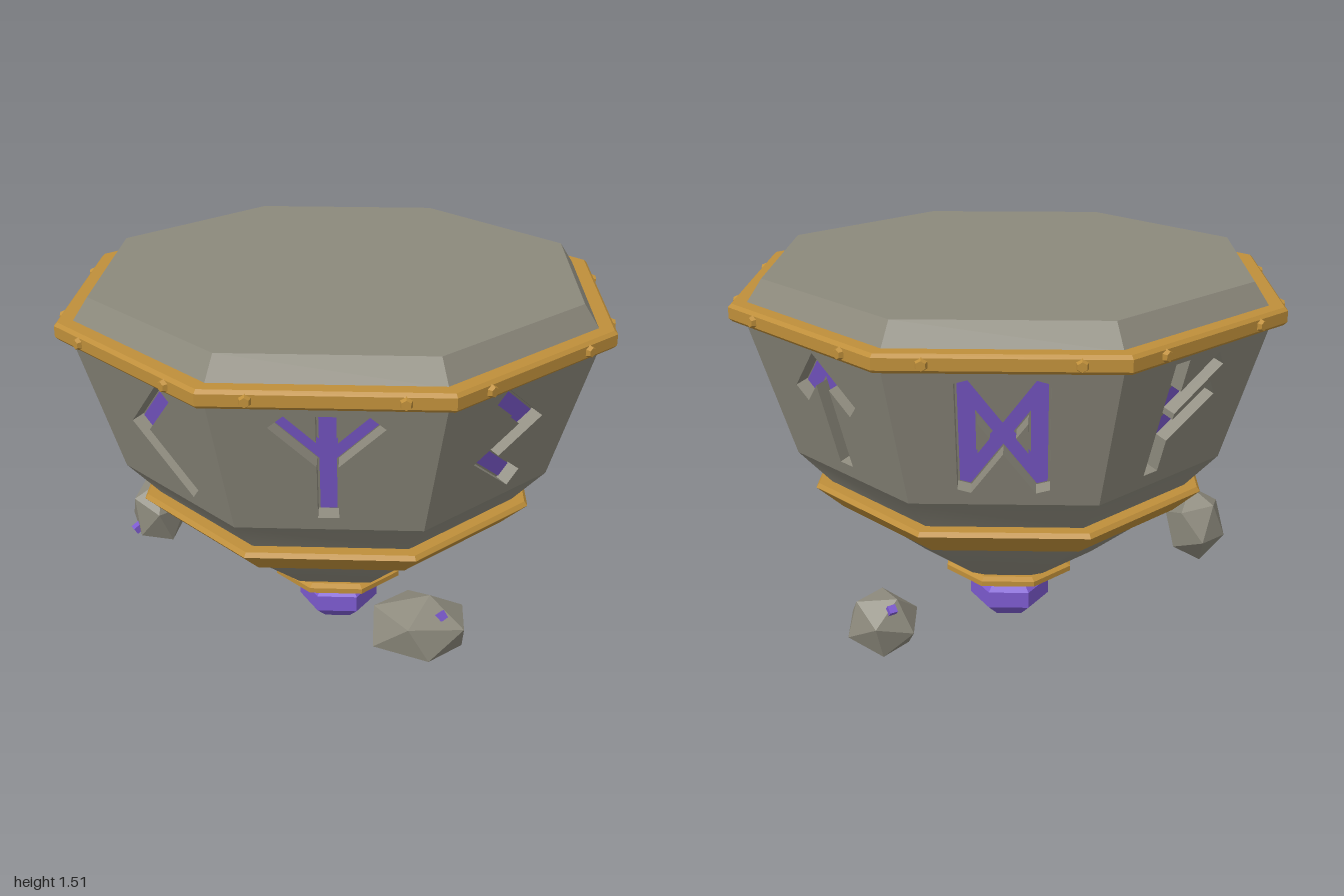
import * as THREE from 'three';
import { toCreasedNormals } from 'three/addons/utils/BufferGeometryUtils.js';

const mat = (name, color) => Object.assign(new THREE.MeshStandardMaterial({ color }), { name });
const stone = mat('stone', 0x8c897c);
const gold = mat('gold', 0xbf8f3a);
const purple = mat('purple', 0x7d5bd0);

function add(parent, name, geometry, material) {
  const mesh = new THREE.Mesh(geometry, material);
  mesh.name = name;
  parent.add(mesh);
  return mesh;
}

// Eight-sided ring or shell; profile points are [distance to the flat side, height], bottom to top
function octagon(profile, crease = 0.1) {
  const pts = profile.map(([a, y]) => new THREE.Vector2(a / Math.cos(Math.PI / 8), y));
  return toCreasedNormals(new THREE.LatheGeometry(pts, 8, Math.PI / 8), crease);
}

// Runes as stick figures: points and edges, counter-clockwise from the front side
const RUNES = [
  { p: [[0, -0.19], [0, 0.02], [0, 0.185], [-0.14, 0.17], [0.14, 0.17]], e: '01 12 13 14' },
  { p: [[-0.08, 0.19], [0.1, 0.05], [-0.09, -0.06], [0.08, -0.19]], e: '01 12 23' },
  { p: [[0, 0.18], [0.13, 0], [0, -0.18], [-0.13, 0]], e: '01 12 23 30' },
  { p: [[0, -0.19], [0, 0.18], [-0.12, 0.06], [0.12, 0.06]], e: '01 12 13' },
  { p: [[-0.12, -0.18], [-0.12, 0.18], [0.12, -0.18], [0.12, 0.18], [0, 0]], e: '01 23 04 14 24 34' },
  { p: [[-0.08, -0.19], [-0.08, -0.08], [-0.08, 0.03], [-0.08, 0.19], [0.11, 0.05], [0.11, 0.17]], e: '01 12 23 14 25' },
  { p: [[0, 0.18], [0.1, 0.07], [0, -0.04], [-0.1, 0.07], [-0.11, -0.18], [0.11, -0.18]], e: '01 12 23 30 24 25' },
  { p: [[0.11, 0.19], [-0.09, 0], [0.11, -0.19]], e: '01 12' },
];

// Thickens a stick figure by w on each side: returns the outer contour and the inner islands
function outline({ p, e }, w) {
  const pts = p.map(([x, y]) => new THREE.Vector2(x, y));
  const near = pts.map(() => []);
  for (const s of e.split(' ')) {
    near[s[0]].push(+s[1]);
    near[s[1]].push(+s[0]);
  }
  const dir = (a, b) => pts[b].clone().sub(pts[a]).normalize();
  const used = new Set();
  const loops = [];
  near.forEach((list, start) => list.forEach((first) => {
    let a = start, b = first;
    const loop = [];
    while (!used.has(a + '>' + b)) {
      used.add(a + '>' + b);
      // Next edge clockwise around b
      const back = dir(b, a).angle();
      const gap = (c) => (c === a ? 7 : (back - dir(b, c).angle() + 4 * Math.PI) % (2 * Math.PI));
      const c = near[b].reduce((m, n) => (gap(n) < gap(m) ? n : m));
      const d1 = dir(a, b), d2 = dir(b, c);
      const n1 = new THREE.Vector2(-d1.y, d1.x), n2 = new THREE.Vector2(-d2.y, d2.x);
      const dot = d1.dot(d2);
      if (c === a || (dot < -0.4 && d1.cross(d2) < 0)) {
        loop.push(pts[b].clone().addScaledVector(n1, w).addScaledVector(d1, w));
        loop.push(pts[b].clone().addScaledVector(n2, w).addScaledVector(d2, -w));
      } else {
        loop.push(pts[b].clone().addScaledVector(n1.add(n2), w / (1 + dot)));
      }
      [a, b] = [b, c];
    }
    if (loop.length) loops.push(loop);
  }));
  return {
    outer: loops.find((l) => THREE.ShapeUtils.area(l) < 0),
    islands: loops.filter((l) => THREE.ShapeUtils.area(l) > 0),
  };
}

// Sloping wall panel with a carved rune and a glowing floor
const LOW = { a: 0.785, y: 0.83 }, HIGH = { a: 0.935, y: 1.37 }, DEPTH = 0.05;
function runePanel(rune) {
  const panel = new THREE.Group();
  panel.name = 'runePanel';
  const len = Math.hypot(HIGH.a - LOW.a, HIGH.y - LOW.y), mid = len / 2;
  const t = Math.tan(Math.PI / 8);
  const wall = new THREE.Shape([[-LOW.a * t, -mid], [LOW.a * t, -mid], [HIGH.a * t, mid], [-HIGH.a * t, mid]]
    .map(([x, y]) => new THREE.Vector2(x, y)));
  const cut = outline(rune, 0.036);
  wall.holes.push(new THREE.Path(cut.outer));
  const shapes = [wall, ...cut.islands.map((l) => new THREE.Shape(l))];
  add(panel, 'carvedWall', new THREE.ExtrudeGeometry(shapes, { depth: DEPTH, bevelEnabled: false }), stone)
    .position.z = -DEPTH;
  add(panel, 'carvingFloor', new THREE.PlaneGeometry(0.42, 0.5), stone).position.z = -DEPTH;
  const line = outline(rune, 0.029);
  const glow = new THREE.Shape(line.outer);
  glow.holes = line.islands.map((l) => new THREE.Path(l));
  add(panel, 'rune', new THREE.ShapeGeometry(glow), purple).position.z = -DEPTH + 0.006;
  panel.position.set(0, (LOW.y + HIGH.y) / 2, (LOW.a + HIGH.a) / 2);
  panel.rotation.x = Math.atan2(HIGH.a - LOW.a, HIGH.y - LOW.y);
  return panel;
}

// Floating rock fitted to a given size, with a small crystal chip
function rock(center, size, rot, chipAt) {
  const group = new THREE.Group();
  group.name = 'floatingRock';
  const geo = new THREE.IcosahedronGeometry(1, 0);
  geo.applyMatrix4(new THREE.Matrix4().makeRotationFromEuler(new THREE.Euler(...rot)));
  geo.center();
  const ext = geo.boundingBox.getSize(new THREE.Vector3());
  geo.scale(size[0] / ext.x, size[1] / ext.y, size[2] / ext.z);
  add(group, 'rock', toCreasedNormals(geo, 0.1), stone);
  const chip = add(group, 'crystalChip', new THREE.BoxGeometry(0.03, 0.03, 0.04), purple);
  chip.position.set(...chipAt);
  chip.lookAt(0, 0, 0);
  group.position.set(...center);
  return group;
}

export function createModel() {
  const model = new THREE.Group();
  model.name = 'runeBowl';

  // Stone bowl
  add(model, 'lowerBowl', octagon([[0, 0.25], [0.19, 0.25], [0.33, 0.335], [0.61, 0.58], [0.67, 0.69], [LOW.a, LOW.y]], 0.523), stone);
  add(model, 'topSlab', octagon([[HIGH.a, HIGH.y], [0.925, 1.42], [0.87, 1.505], [0, 1.505]]), stone);

  // Gold bands
  add(model, 'rimBand', octagon([[0.9, 1.36], [0.973, 1.36], [0.985, 1.372], [0.985, 1.413], [0.973, 1.425], [0.91, 1.425]]), gold);
  add(model, 'middleBand', octagon([[0.56, 0.58], [0.635, 0.58], [0.73, 0.676], [0.718, 0.692], [0.64, 0.692]]), gold);
  add(model, 'bottomCollar', octagon([[0, 0.212], [0.2, 0.212], [0.25, 0.232], [0.25, 0.253], [0.23, 0.265], [0.15, 0.265]]), gold);

  // Eight sides, each with a rune and two rim studs
  const stud = new THREE.CylinderGeometry(0.017, 0.027, 0.025, 6).rotateX(Math.PI / 2);
  const studGeo = toCreasedNormals(stud, 0.1);
  RUNES.forEach((rune, i) => {
    const side = new THREE.Group();
    side.name = 'side';
    side.rotation.y = (i * Math.PI) / 4;
    side.add(runePanel(rune));
    for (const x of [-0.25, 0.25]) add(side, 'rimStud', studGeo, gold).position.set(x, 1.392, 0.9875);
    model.add(side);
  });

  // Crystal knob under the collar
  const knob = new THREE.SphereGeometry(0.17, 6, 5).scale(1, 0.65, 1);
  add(model, 'crystalKnob', toCreasedNormals(knob, 0.1), purple).position.y = 0.11;

  // Rocks around the base
  model.add(rock([-0.75, 0.43, -0.06], [0.23, 0.3, 0.24], [0.3, 0.4, 0.35], [-0.085, -0.06, 0.05]));
  model.add(rock([0.318, 0.38, 0.685], [0.325, 0.26, 0.27], [0.52, 1.2, 0], [0.075, 0.075, 0.055]));
  model.add(rock([0.452, 0.275, -0.62], [0.245, 0.23, 0.23], [0.7, 0.2, 0.5], [-0.04, 0.08, -0.06]));
  return model;
}
